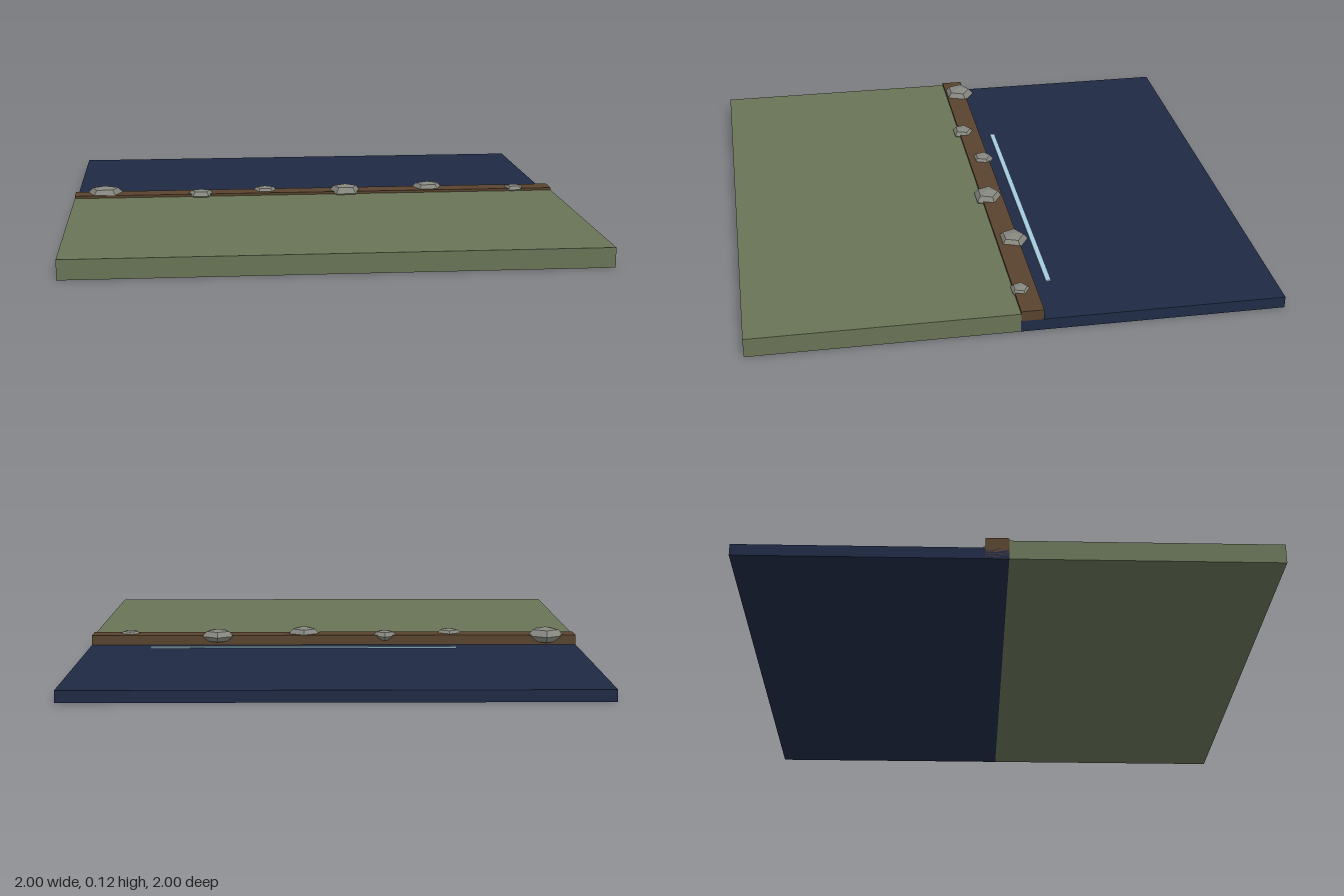
import * as THREE from 'three';

const paint = (color) => new THREE.MeshStandardMaterial({ color, flatShading: true });

// Axis-aligned slab given by its min and max corners
function slab(name, color, [x0, y0, z0], [x1, y1, z1]) {
  const mesh = new THREE.Mesh(new THREE.BoxGeometry(x1 - x0, y1 - y0, z1 - z0), paint(color));
  mesh.position.set((x0 + x1) / 2, (y0 + y1) / 2, (z0 + z1) / 2);
  mesh.name = name;
  return mesh;
}

export function createModel() {
  const model = new THREE.Group();
  model.name = 'shoreTile';

  // Grass bank, water, muddy edge and the ripple along it
  model.add(
    slab('grassBank', 0x687356, [-1, 0, 0], [1, 0.075, 1]),
    slab('water', 0x1f2a44, [-1, 0, -1], [1, 0.045, 0]),
    slab('muddyEdge', 0x58432e, [-1, 0, -0.085], [1, 0.085, 0]),
    slab('ripple', 0xa3cbe0, [-0.5, 0.043, -0.162], [0.75, 0.05, -0.142])
  );

  // Flattened five-sided stones, one corner pointing to the water
  const stoneGeometry = new THREE.SphereGeometry(1, 5, 4).rotateY(-Math.PI / 2);
  const stoneMaterial = paint(0x85867e);
  const stones = new THREE.Group();
  stones.name = 'stones';
  // x, z, radius, height above the middle
  [
    [-0.877, -0.057, 0.079, 0.035],
    [-0.48, -0.016, 0.056, 0.023],
    [-0.21, -0.061, 0.053, 0.023],
    [0.125, -0.025, 0.07, 0.033],
    [0.48, -0.065, 0.069, 0.029],
    [0.845, -0.025, 0.046, 0.019],
  ].forEach(([x, z, r, h]) => {
    const stone = new THREE.Mesh(stoneGeometry, stoneMaterial);
    stone.position.set(x, 0.08, z);
    stone.scale.set(r, h, r * 0.86);
    stone.name = 'stone';
    stones.add(stone);
  });
  model.add(stones);
  return model;
}
